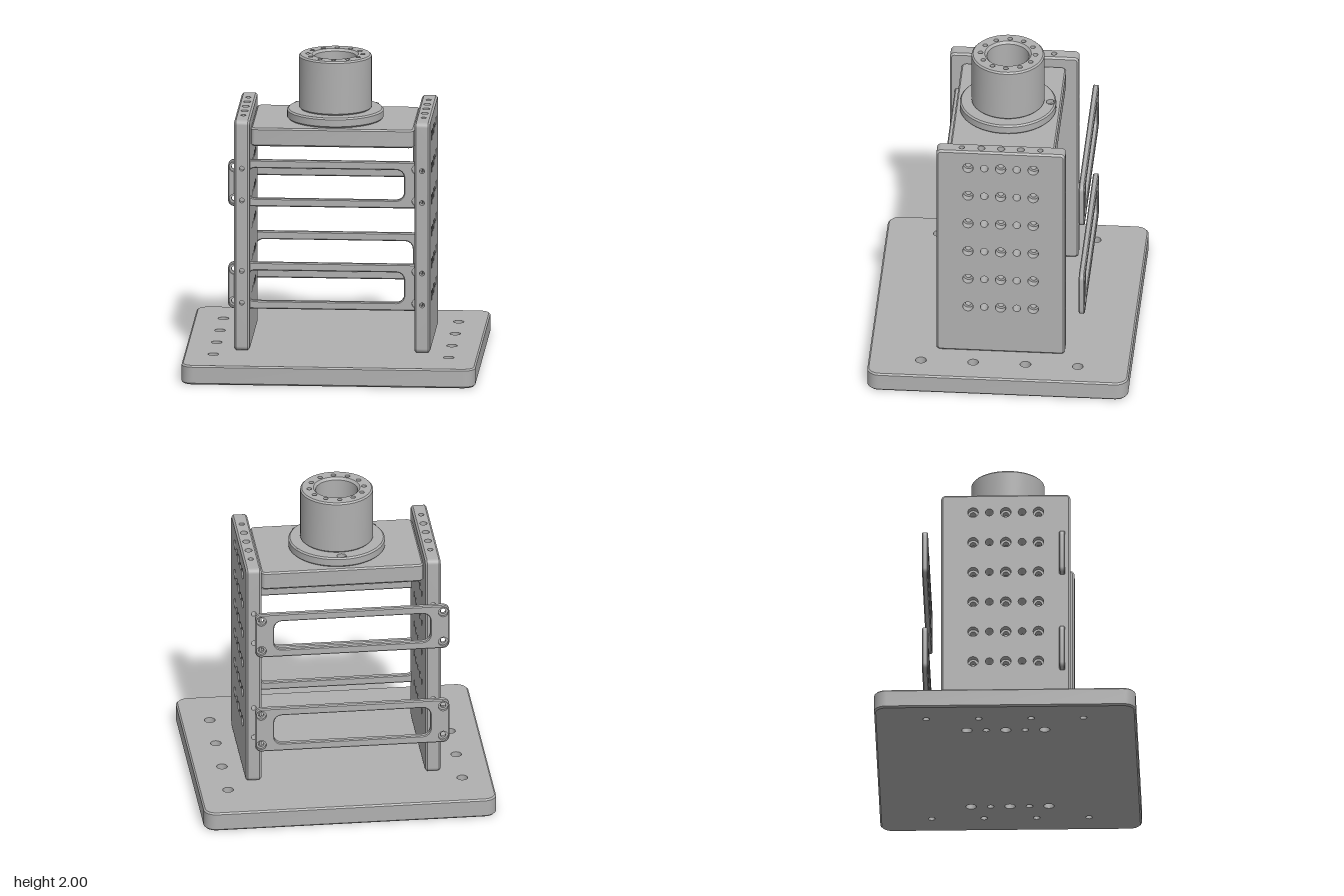
import * as THREE from 'three';
import { toCreasedNormals } from 'three/addons/utils/BufferGeometryUtils.js';

const V2 = THREE.Vector2, V3 = THREE.Vector3;

// Counter-clockwise outlines; edge k joins corner k to k + 1 (top, left, bottom, right)
const CORNER = 6;
function roundRect(w, h, r) {
  const pts = [];
  for (let k = 0; k < 4; k++) {
    const cx = (k === 0 || k === 3 ? 1 : -1) * (w / 2 - r);
    const cy = (k < 2 ? 1 : -1) * (h / 2 - r);
    for (let i = 0; i <= CORNER; i++) {
      const a = (k + i / CORNER) * Math.PI / 2;
      pts.push(new V2(cx + r * Math.cos(a), cy + r * Math.sin(a)));
    }
  }
  return pts;
}
function circle(r, n = 20, x = 0, y = 0) {
  return Array.from({ length: n }, (_, i) => {
    const a = i / n * Math.PI * 2;
    return new V2(x + r * Math.cos(a), y + r * Math.sin(a));
  });
}
const rectOutline = (w, h, r) => inset => roundRect(w - 2 * inset, h - 2 * inset, r - inset);
const discOutline = r => inset => circle(r - inset, 64);

// A hole is a stepped profile of [size, z] from bottom to top
const hole = (x, y, steps, blind = false, n = 20) =>
  ({ ring: r => circle(r, n, x, y).reverse(), steps, blind });
const slot = (w, h, r, t) => ({
  ring: o => roundRect(w + 2 * o, h + 2 * o, r + o).reverse(),
  steps: [[0.006, 0], [0, 0.006], [0, t - 0.006], [0.006, t]],
});

// Chamfered slab from z = 0 to t, with holes through its face and pits in its edges
function slab(outline, t, holes = [], edgePits = {}, c = 0.01) {
  const out = [];
  const at = (m, p, z) => new V3(p.x, p.y, z).applyMatrix4(m);
  const strip = (m, A, za, B, zb, skip = {}) => A.forEach((p, i) => {
    if (skip[i]) return;
    const j = (i + 1) % A.length;
    const a = at(m, p, za), b = at(m, A[j], za), e = at(m, B[j], zb), d = at(m, B[i], zb);
    out.push(a, b, e, a, e, d);
  });
  const cap = (m, contour, rings, z, up) => {
    const all = [contour, ...rings].flat();
    for (const f of THREE.ShapeUtils.triangulateShape(contour, rings)) {
      const q = f.map(i => all[i]);
      if ((THREE.ShapeUtils.area(q) > 0) !== up) q.reverse();
      out.push(...q.map(p => at(m, p, z)));
    }
  };
  const bore = (m, h) => {
    const s = h.steps;
    for (let i = 0; i + 1 < s.length; i++)
      strip(m, h.ring(s[i][0]), s[i][1], h.ring(s[i + 1][0]), s[i + 1][1]);
    if (h.blind) cap(m, h.ring(s[0][0]).reverse(), [], s[0][1], true);
  };

  const I = new THREE.Matrix4(), full = outline(0), small = outline(c), skip = {};
  // Drilled edge faces
  for (const [k, pits] of Object.entries(edgePits)) {
    const i = k * (CORNER + 1) + CORNER, a = full[i], b = full[(i + 1) % full.length];
    skip[i] = true;
    const u = new V3(b.x - a.x, b.y - a.y, 0), L = u.length();
    u.normalize();
    const v = new V3(0, 0, 1);
    const m = new THREE.Matrix4().makeBasis(u, v, u.clone().cross(v))
      .setPosition((a.x + b.x) / 2, (a.y + b.y) / 2, t / 2);
    const hs = pits.map(([s, r]) => hole(s, 0, [[r, -0.06], [r, 0]], true, 16));
    const H = t / 2 - c;
    cap(m, [new V2(-L / 2, -H), new V2(L / 2, -H), new V2(L / 2, H), new V2(-L / 2, H)],
      hs.map(h => h.ring(h.steps[1][0])), 0, true);
    hs.forEach(h => bore(m, h));
  }
  // Rim, chamfers, faces and bores
  strip(I, small, 0, full, c);
  strip(I, full, c, full, t - c, skip);
  strip(I, full, t - c, small, t);
  cap(I, outline(c), holes.filter(h => !h.blind).map(h => h.ring(h.steps[0][0])), 0, false);
  cap(I, outline(c), holes.map(h => h.ring(h.steps.at(-1)[0])), t, true);
  holes.forEach(h => bore(I, h));
  return toCreasedNormals(new THREE.BufferGeometry().setFromPoints(out), 0.5);
}

// Hole profiles
const through = (r, t) => [[r, 0], [r, t]];
const boreTop = (r, R, t, d) => [[r, 0], [r, t - d], [R, t - d], [R, t]];
const boreBottom = (r, R, t, d) => [[R, 0], [R, d], [r, d], [r, t]].map(([a, z]) => [a, z]);

export function createModel() {
  const model = new THREE.Group();
  const metal = new THREE.MeshStandardMaterial({ color: 0xb0b0b0 });
  metal.name = 'greyMetal';
  const add = (name, geo, pos, rx = 0, ry = 0) => {
    const mesh = new THREE.Mesh(geo, metal);
    mesh.name = name;
    mesh.position.set(...pos);
    mesh.rotation.set(rx, ry, 0);
    model.add(mesh);
  };
  const FLAT = -Math.PI / 2;

  // Base plate with mounting holes and the screw rows below the side plates
  const baseT = 0.125, baseHoles = [];
  for (const s of [-1, 1]) {
    for (const z of [-0.507, -0.17, 0.167, 0.503])
      baseHoles.push(hole(s * 0.757, -z, boreTop(0.022, 0.035, baseT, 0.05)));
    for (const z of [-0.25, 0, 0.25])
      baseHoles.push(hole(s * 0.58, z, boreBottom(0.02, 0.034, baseT, 0.06)));
    for (const z of [-0.125, 0.125])
      baseHoles.push(hole(s * 0.58, z, through(0.022, baseT)));
  }
  add('basePlate', slab(rectOutline(1.89, 1.68, 0.08), baseT, baseHoles), [0, 0, 0], FLAT);

  // Side plates with a grid of holes and drilled edges
  const sideT = 0.1, sideY = 0.8865, sideHoles = [];
  for (let row = 0; row < 6; row++) {
    const y = 0.466 + row * 0.211 - sideY;
    for (const z of [-0.21, 0, 0.21]) sideHoles.push(hole(z, y, boreTop(0.02, 0.034, sideT, 0.045)));
    for (const z of [-0.105, 0.105]) sideHoles.push(hole(z, y, through(0.025, sideT)));
  }
  const barHoles = [0.445, 0.655, 1.12, 1.33];
  const pits = {
    0: [[-0.253, 0.018], [-0.127, 0.024], [0, 0.024], [0.127, 0.024], [0.253, 0.018]],
    1: barHoles.map(y => [sideY - y, 0.016]),
    3: barHoles.map(y => [y - sideY, 0.016]),
  };
  const side = slab(rectOutline(0.83, 1.517, 0.03), sideT, sideHoles, pits, 0.012);
  add('leftSidePlate', side, [0.53, sideY, 0], 0, Math.PI / 2);
  add('rightSidePlate', side, [-0.53, sideY, 0], 0, -Math.PI / 2);

  // Top plate with a bore and flange screw holes
  const ringOf = (n, r, steps, blind) => Array.from({ length: n }, (_, i) => {
    const a = Math.PI / 2 + i / n * Math.PI * 2;
    return hole(r * Math.cos(a), r * Math.sin(a), steps, blind, 16);
  });
  const BORE = 0.135, topT = 0.12;
  add('topPlate', slab(rectOutline(1.05, 0.675, 0.035), topT,
    [hole(0, 0, through(BORE, topT), false, 48), ...ringOf(6, 0.277, through(0.018, topT))]),
  [-0.003, 1.46, 0], FLAT);

  // Flange and hollow column
  const flangeT = 0.065, tubeT = 0.355;
  add('flange', slab(discOutline(0.31), flangeT,
    [hole(0, 0, through(BORE, flangeT), false, 48),
      ...ringOf(6, 0.277, boreTop(0.019, 0.031, flangeT, 0.03))]),
  [-0.004, 1.58, 0], FLAT);
  add('column', slab(discOutline(0.234), tubeT,
    [hole(0, 0, [[BORE, 0], [BORE, tubeT - 0.015], [0.15, tubeT]], false, 48),
      ...ringOf(12, 0.177, [[0.016, tubeT - 0.08], [0.016, tubeT]], true)]),
  [-0.004, 1.645, 0], FLAT);

  // Slotted cross bars, screw heads facing outwards
  const barT = 0.038, barHolesXY = [];
  for (const x of [-0.588, 0.588])
    for (const y of [-0.105, 0.105])
      barHolesXY.push(hole(x, y, boreTop(0.018, 0.032, barT, 0.018)));
  const bar = slab(rectOutline(1.255, 0.306, 0.04), barT,
    [slot(1.01, 0.2, 0.05, barT), ...barHolesXY], {}, 0.007);
  for (const [level, y] of [['lower', 0.552], ['upper', 1.227]]) {
    add(level + 'FrontBar', bar, [-0.043, y, 0.344]);
    add(level + 'BackBar', bar, [-0.043, y, -0.499], 0, Math.PI);
  }
  return model;
}
